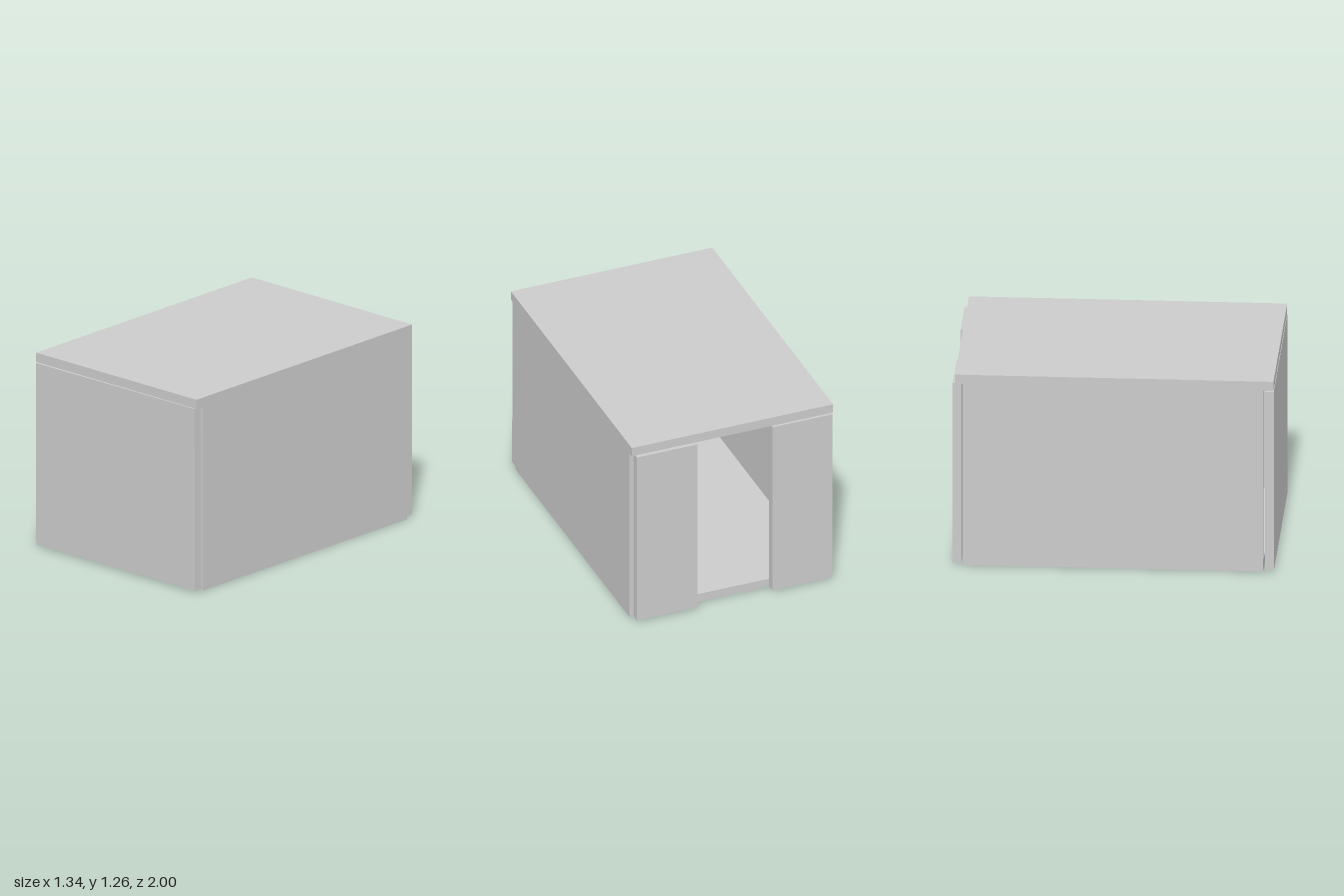
import * as THREE from 'three';

export function createModel() {
  const group = new THREE.Group();
  const material = new THREE.MeshStandardMaterial({ color: 0xcccccc, flatShading: true });

  // A flat board given by its extents along each axis
  function board(name, [x0, x1], [y0, y1], [z0, z1]) {
    const mesh = new THREE.Mesh(new THREE.BoxGeometry(x1 - x0, y1 - y0, z1 - z0), material);
    mesh.position.set((x0 + x1) / 2, (y0 + y1) / 2, (z0 + z1) / 2);
    mesh.name = name;
    group.add(mesh);
    return mesh;
  }

  // Roof and floor slabs
  board('roof', [-0.672, 0.672], [1.2, 1.26], [-0.975, 0.995]);
  board('floor', [-0.605, 0.605], [0.003, 0.06], [-0.93, 0.93]);

  // Long side walls
  board('leftWall', [0.612, 0.668], [0, 1.2], [-0.93, 0.93]);
  board('rightWall', [-0.668, -0.612], [0, 1.2], [-0.93, 0.93]);

  // Closed front, hung very slightly askew
  const front = board('frontWall', [-0.671, 0.661], [0.012, 1.195], [0.942, 0.997]);
  front.rotation.z = 0.003;

  // Two back panels either side of the doorway
  board('backPanelLeft', [0.245, 0.648], [0.012, 1.2], [-1, -0.943]);
  board('backPanelRight', [-0.66, -0.26], [0.012, 1.2], [-0.992, -0.938]);

  return group;
}
